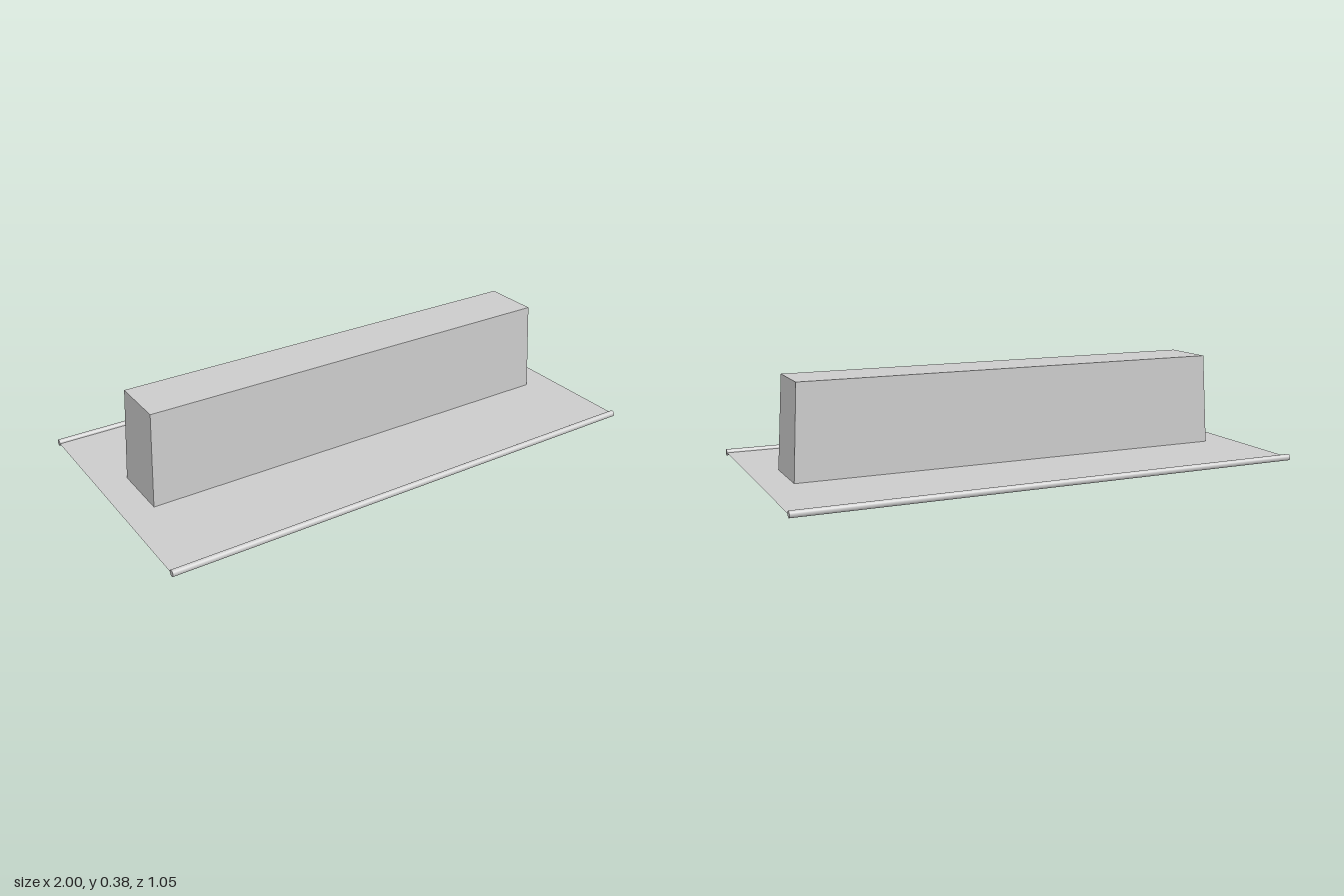
import * as THREE from 'three';

const HALF_LENGTH = 1, ROD_Z = 0.511, ROD_RADIUS = 0.0125;
const BASE = { x: 0.882, z: 0.119 }, TOP = { x: 0.862, z: 0.111 }, TOP_Y = 0.377;

const solid = new THREE.MeshStandardMaterial({ color: 0xcccccc });
const sheet = new THREE.MeshStandardMaterial({ color: 0xcccccc, side: THREE.DoubleSide });

function addMesh(group, name, geometry, material) {
  const mesh = new THREE.Mesh(geometry, material);
  mesh.name = name;
  group.add(mesh);
  return mesh;
}

// Rectangle outline centred on the origin
function rectangle(PathType, x, z) {
  return new PathType([[-x, -z], [x, -z], [x, z], [-x, z]].map(p => new THREE.Vector2(...p)));
}

// Hollow box, open below, whose walls lean in towards the top
function taperedCover() {
  const height = TOP_Y - ROD_RADIUS;
  const geometry = new THREE.BoxGeometry(2, height, 2).translate(0, ROD_RADIUS + height / 2, 0);
  const index = Array.from(geometry.index.array);
  index.splice(18, 6); // leave out the bottom face
  geometry.setIndex(index);
  geometry.clearGroups();
  const pos = geometry.attributes.position;
  for (let i = 0; i < pos.count; i++) {
    const size = pos.getY(i) > height / 2 ? TOP : BASE;
    pos.setX(i, pos.getX(i) * size.x);
    pos.setZ(i, pos.getZ(i) * size.z);
  }
  geometry.computeVertexNormals();
  return geometry;
}

export function createModel() {
  const model = new THREE.Group();
  model.name = 'slottedPanel';

  // Thin panel with a slot below the cover
  const outline = rectangle(THREE.Shape, HALF_LENGTH, ROD_Z);
  outline.holes.push(rectangle(THREE.Path, BASE.x, BASE.z));
  const panel = new THREE.ShapeGeometry(outline).rotateX(-Math.PI / 2).translate(0, ROD_RADIUS, 0);
  addMesh(model, 'panel', panel, sheet);

  addMesh(model, 'cover', taperedCover(), sheet);

  // Round rods along the long edges
  for (const side of [1, -1]) {
    const rod = new THREE.CylinderGeometry(ROD_RADIUS, ROD_RADIUS, 2 * HALF_LENGTH, 24).rotateZ(Math.PI / 2);
    addMesh(model, side > 0 ? 'frontRod' : 'backRod', rod, solid).position.set(0, ROD_RADIUS, side * ROD_Z);
  }
  return model;
}
